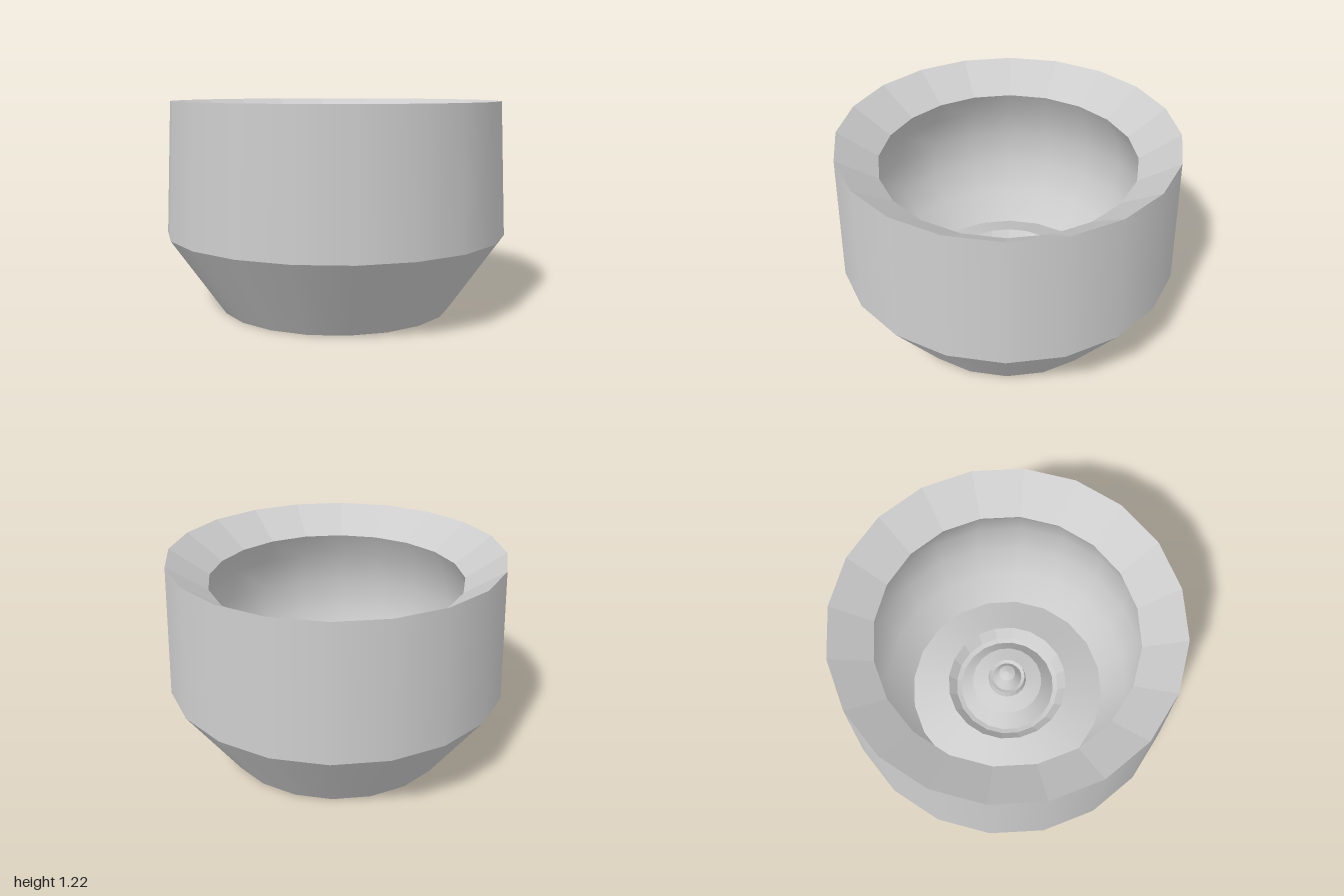
import * as THREE from 'three';

const SIDES = 20;

// Revolves a [radius, height] profile; the profile runs from the underside centre,
// out and up the wall, then over the rim and down the inside.
function ring(name, profile, flatShading = false) {
  const points = profile.map(([r, y]) => new THREE.Vector2(r, y));
  const geometry = new THREE.LatheGeometry(points, SIDES);
  const material = new THREE.MeshStandardMaterial({ color: 0xcccccc, flatShading });
  const mesh = new THREE.Mesh(geometry, material);
  mesh.name = name;
  return mesh;
}

export function createModel() {
  const model = new THREE.Group();
  model.name = 'bowl';
  model.add(
    // underside: central recess, low boss and shallow hollow base
    ring('undersideRecess', [[0, 0.24], [0.05, 0.22], [0.105, 0.135]]),
    ring('undersideHub', [[0.105, 0.135], [0.21, 0.095]]),
    ring('undersideBoss', [[0.21, 0.095], [0.29, 0.105]]),
    ring('undersideHollow', [[0.29, 0.105], [0.69, 0]]),

    // outside wall
    ring('lowerWall', [[0.69, 0], [1, 0.45]]),
    ring('upperWall', [[1, 0.45], [0.965, 1.22]]),

    // faceted rim sloping into the bowl
    ring('rim', [[0.965, 1.22], [0.74, 1.065]], true),

    // rounded inside wall, undercut below the rim
    ring('innerWall', [[0.74, 1.065], [0.83, 0.9], [0.875, 0.7], [0.855, 0.48], [0.76, 0.3], [0.62, 0.14]]),

    // domed floor with a groove around the raised hub
    ring('floorDome', [[0.62, 0.14], [0.38, 0.25]]),
    ring('floorGroove', [[0.38, 0.25], [0.33, 0.19], [0.3, 0.18]], true),
    ring('hubSide', [[0.3, 0.18], [0.22, 0.28]]),
    ring('hubTop', [[0.22, 0.28], [0.12, 0.31]]),

    // small spindle in the middle
    ring('spindleCollar', [[0.12, 0.31], [0.11, 0.36], [0.09, 0.35]], true),
    ring('spindle', [[0.09, 0.35], [0.05, 0.42]]),
    ring('spindleTip', [[0.05, 0.42], [0.01, 0.44], [0, 0.44]]),
  );
  return model;
}
